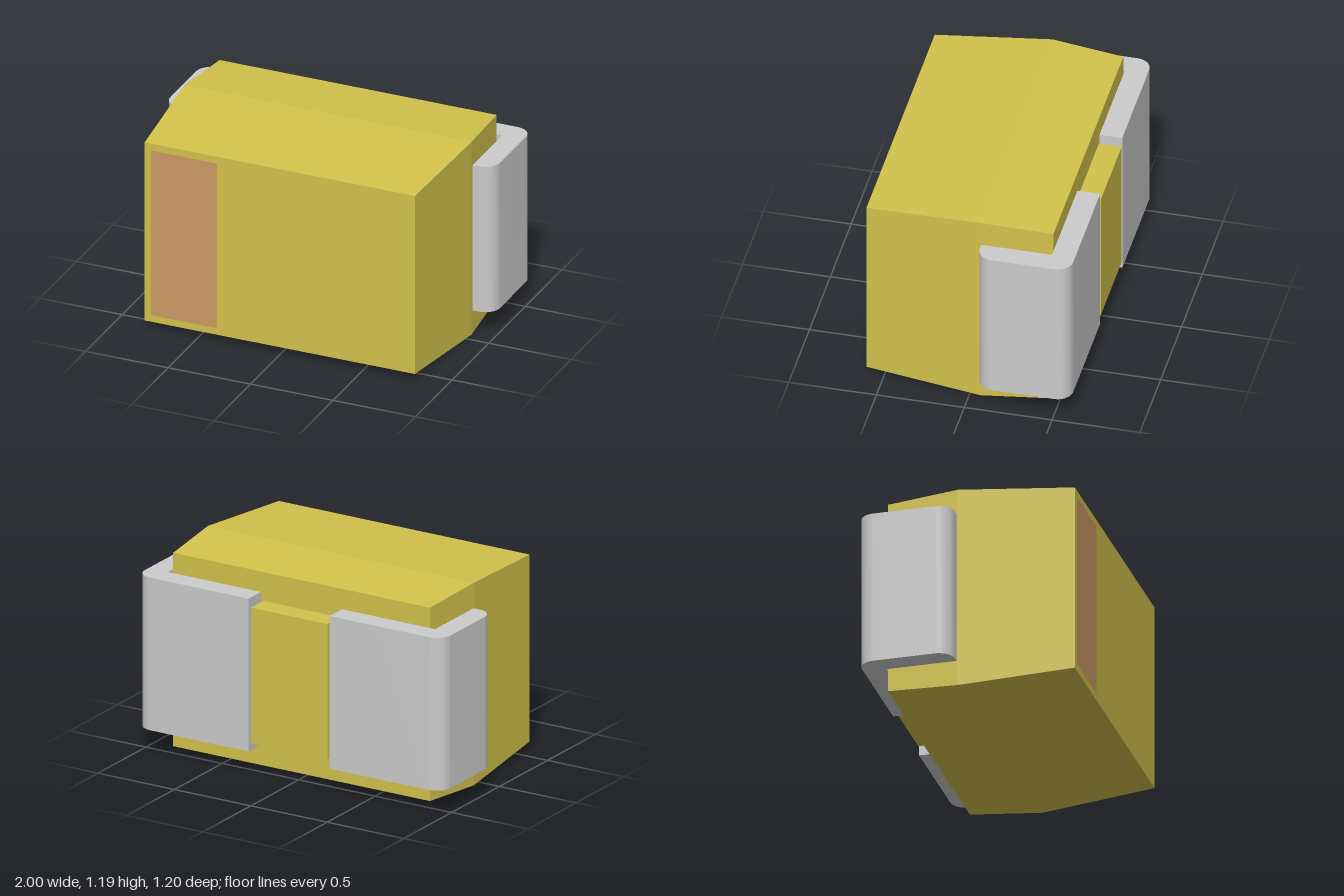
import * as THREE from 'three';
import { toCreasedNormals } from 'three/addons/utils/BufferGeometryUtils.js';

const MID_Y = 0.6;
const yellow = new THREE.MeshStandardMaterial({ color: 0xd2c24b, flatShading: true });
const grey = new THREE.MeshStandardMaterial({ color: 0xcccccc });
const tan = new THREE.MeshStandardMaterial({ color: 0xcd9a64 });

function addMesh(group, name, geometry, material, x, y, z) {
  const mesh = new THREE.Mesh(geometry, material);
  mesh.name = name;
  mesh.position.set(x, y, z);
  group.add(mesh);
  return mesh;
}

// Moulded body: a box split at its parting line, tapering to both ends
function bodyGeometry() {
  const sections = [ // half width, half height, z
    [0.84, 0.57, -0.47],
    [0.87, 0.597, -0.06],
    [0.82, 0.551, 0.6],
  ];
  const geometry = new THREE.BoxGeometry(2, 2, 2, 1, 1, 2);
  const p = geometry.attributes.position;
  for (let i = 0; i < p.count; i++) {
    const [w, h, z] = sections[Math.round(p.getZ(i)) + 1];
    p.setXYZ(i, p.getX(i) * w, p.getY(i) * h, z);
  }
  geometry.computeVertexNormals();
  return geometry;
}

// L-shaped terminal wrapping a back edge, with rounded outer corners
function terminalGeometry() {
  const r = 0.09, height = 0.9;
  const shape = new THREE.Shape(); // drawn in x and -z
  shape.moveTo(0.265, 0.47);
  shape.lineTo(0.873, 0.47);
  shape.lineTo(0.873, 0.067);
  shape.lineTo(1 - r, 0.067);
  shape.absarc(1 - r, 0.067 + r, r, -Math.PI / 2, 0, false);
  shape.lineTo(1, 0.6 - r);
  shape.absarc(1 - r, 0.6 - r, r, 0, Math.PI / 2, false);
  shape.lineTo(0.265, 0.6);
  shape.closePath();
  const geometry = new THREE.ExtrudeGeometry(shape, { depth: height, bevelEnabled: false, curveSegments: 10 });
  geometry.translate(0, 0, -height / 2);
  geometry.rotateX(-Math.PI / 2);
  return toCreasedNormals(geometry, Math.PI / 6);
}

export function createModel() {
  const model = new THREE.Group();
  model.name = 'chipComponent';

  addMesh(model, 'body', bodyGeometry(), yellow, 0, MID_Y, 0);
  addMesh(model, 'backTab', new THREE.BoxGeometry(0.5, 0.8, 0.13), yellow, 0, MID_Y, -0.535);
  addMesh(model, 'polarityStripe', new THREE.PlaneGeometry(0.4, 1.02), tan, -0.58, MID_Y, 0.601);

  // Terminals: the second is the first turned half a revolution
  const terminal = terminalGeometry();
  addMesh(model, 'leftTerminal', terminal, grey, 0, MID_Y, 0);
  addMesh(model, 'rightTerminal', terminal, grey, 0, MID_Y, 0).rotation.z = Math.PI;

  return model;
}
